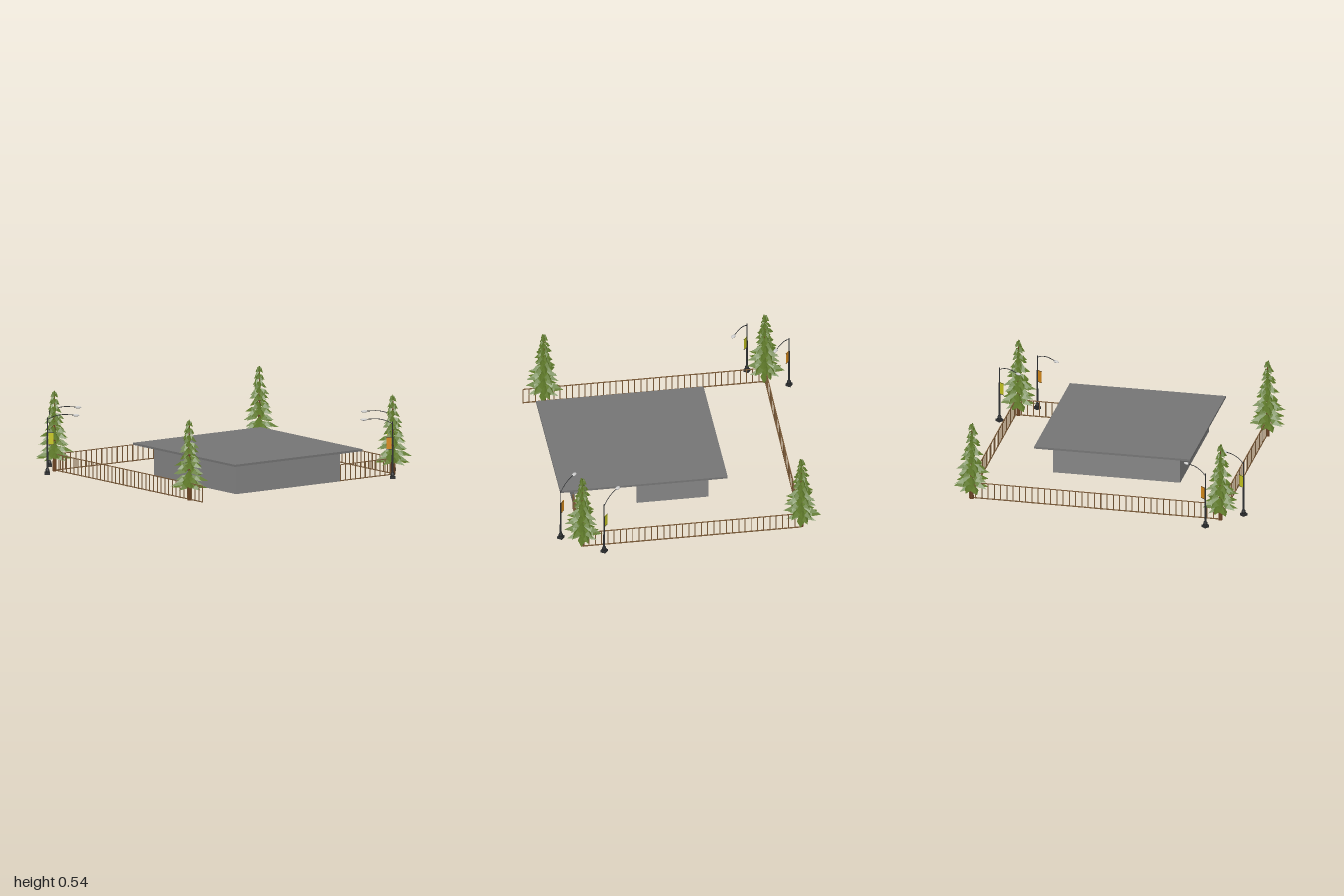
import * as THREE from 'three';
import { mergeGeometries } from 'three/addons/utils/BufferGeometryUtils.js';

const mat = (color, extra = {}) => new THREE.MeshStandardMaterial({ color, ...extra });
const M = {
  wall: mat(0x858585, { side: THREE.DoubleSide }),
  roof: mat(0x757575),
  wood: mat(0x7a5a38),
  bark: mat(0x6b4223, { flatShading: true }),
  leaf: mat(0x5f7a2a, { side: THREE.DoubleSide, flatShading: true }),
  iron: mat(0x2c2e30),
  lamp: mat(0xcccccc),
  orange: mat(0xd98a1a),
  yellow: mat(0xc8c81e),
};

function add(parent, name, geo, material, x = 0, y = 0, z = 0) {
  const m = new THREE.Mesh(geo, material);
  m.name = name;
  m.position.set(x, y, z);
  parent.add(m);
  return m;
}
function group(parent, name, x = 0, z = 0, turn = 0) {
  const g = new THREE.Group();
  g.name = name;
  g.position.set(x, 0, z);
  g.rotation.y = turn;
  parent.add(g);
  return g;
}
const box = (w, h, d, x = 0, y = 0, z = 0) => new THREE.BoxGeometry(w, h, d).translate(x, y, z);

// Small seeded generator for uneven branches
function seeded(seed) {
  return () => (seed = (seed * 16807) % 2147483647) / 2147483647;
}

// Tiers of drooping, ridged branch blades
function foliageGeometry() {
  const rnd = seeded(77), pos = [];
  const tiers = 10;
  for (let i = 0; i < tiers; i++) {
    const t = i / (tiers - 1);
    const reach = 0.14 * (1 - t) + 0.03 * t;
    const tipY = 0.085 + 0.405 * t;
    const blades = Math.round(10 - 4 * t);
    for (let b = 0; b < blades; b++) {
      const a = ((b + (i % 2) * 0.5 + (rnd() - 0.5) * 0.5) / blades) * Math.PI * 2;
      const r = reach * (0.72 + 0.34 * rnd());
      const y = tipY + (rnd() - 0.5) * 0.025;
      const w = 0.007 + r * 0.16;
      const at = (rad, side, h) => [
        Math.cos(a) * rad - Math.sin(a) * side, h, Math.sin(a) * rad + Math.cos(a) * side];
      const root = at(0.002, 0, y + 0.042), ridge = at(r * 0.55, 0, y + 0.034);
      const left = at(r * 0.5, w, y + 0.008), right = at(r * 0.5, -w, y + 0.008);
      const tip = at(r, 0, y);
      for (const tri of [[root, left, ridge], [left, tip, ridge], [root, ridge, right], [ridge, tip, right]])
        for (const p of tri) pos.push(...p);
    }
  }
  const g = new THREE.BufferGeometry();
  g.setAttribute('position', new THREE.Float32BufferAttribute(pos, 3));
  g.computeVertexNormals();
  return g;
}

// Picket fence between two ground points
function fence(parent, name, x1, z1, x2, z2) {
  const len = Math.hypot(x2 - x1, z2 - z1);
  const g = group(parent, name, (x1 + x2) / 2, (z1 + z2) / 2, -Math.atan2(z2 - z1, x2 - x1));
  const n = Math.round(len / 0.042), parts = [];
  for (let i = 0; i <= n; i++)
    parts.push(box(0.006, 0.11, 0.004, -len / 2 + (len * i) / n, 0.057, 0));
  add(g, 'pickets', mergeGeometries(parts), M.wood);
  add(g, 'topRail', box(len, 0.005, 0.006), M.wood, 0, 0.113, 0);
  add(g, 'bottomRail', box(len, 0.006, 0.006), M.wood, 0, 0.006, 0);
}

// Street lamp whose arm points along local +x
function streetLamp(parent, x, z, turn, bannerMat) {
  const g = group(parent, 'streetLamp', x, z, turn);
  add(g, 'base', box(0.036, 0.016, 0.036), M.iron, 0, 0.012, 0);
  const V = (r, y) => new THREE.Vector2(r, y);
  add(g, 'pole', new THREE.LatheGeometry([V(0, 0.018), V(0.015, 0.02), V(0.013, 0.038), V(0.007, 0.048),
    V(0.005, 0.28), V(0.003, 0.285), V(0.003, 0.385), V(0, 0.385)], 10), M.iron);
  const curve = new THREE.CatmullRomCurve3([[0, 0.372], [0.04, 0.392], [0.1, 0.405], [0.175, 0.402]]
    .map(([a, b]) => new THREE.Vector3(a, b, 0)));
  add(g, 'arm', new THREE.TubeGeometry(curve, 12, 0.0025, 6), M.iron);
  const head = add(g, 'lampHead', new THREE.SphereGeometry(1, 12, 8), M.lamp, 0.19, 0.4, 0);
  head.scale.set(0.022, 0.008, 0.013);
  add(g, 'banner', box(0.034, 0.084, 0.003), bannerMat, 0.024, 0.242, 0);
  for (const y of [0.202, 0.282])
    add(g, 'bannerRod', box(0.044, 0.003, 0.004), M.iron, 0.021, y, 0);
}

// Round table with chairs around it
function diningSet(parent, x, z) {
  const g = group(parent, 'diningSet', x, z);
  add(g, 'tableTop', new THREE.CylinderGeometry(0.04, 0.04, 0.005, 20), M.lamp, 0, 0.05, 0);
  add(g, 'tableLeg', new THREE.CylinderGeometry(0.005, 0.012, 0.05, 8), M.iron, 0, 0.025, 0);
  const parts = [box(0.026, 0.003, 0.026, 0, 0.03, 0), box(0.003, 0.036, 0.026, 0.013, 0.048, 0)];
  for (const a of [-1, 1]) for (const b of [-1, 1])
    parts.push(box(0.003, 0.03, 0.003, a * 0.011, 0.015, b * 0.011));
  const chairGeo = mergeGeometries(parts);
  for (let i = 0; i < 4; i++) {
    const a = (i * Math.PI) / 2 + 0.4;
    add(g, 'chair', chairGeo, M.iron, Math.cos(a) * 0.062, 0, Math.sin(a) * 0.062).rotation.y = -a;
  }
}

export function createModel() {
  const model = new THREE.Group();
  model.name = 'fencedPavilion';

  // Building: open floor, back wall leaves an entrance gap
  const house = group(model, 'building');
  const T = 0.006, H = 0.207;
  add(house, 'frontWall', box(0.9, H, T), M.wall, 0.29, H / 2, 0.437);
  add(house, 'leftWall', box(T, H, 0.86), M.wall, 0.737, H / 2, 0.01);
  add(house, 'rightWall', box(T, H, 0.86), M.wall, -0.157, H / 2, 0.01);
  add(house, 'backWall', box(0.48, H, T), M.wall, 0.08, H / 2, -0.417);
  add(house, 'roof', box(1.12, 0.014, 1.055), M.roof, 0.288, 0.213, 0.004);

  // Furniture inside
  diningSet(house, 0.4, 0.04);
  const bench = group(house, 'bench', -0.12, -0.26);
  add(bench, 'seat', box(0.045, 0.006, 0.27), M.wood, 0, 0.035, 0);
  for (const s of [-1, 1]) add(bench, 'benchLeg', box(0.04, 0.032, 0.008), M.wood, 0, 0.016, s * 0.11);
  add(house, 'counter', box(0.05, 0.06, 0.25), M.wall, 0.7, 0.03, -0.13);
  for (const [x, z] of [[0.28, -0.09], [0.22, -0.06]]) {
    const s = group(house, 'stand', x, z);
    add(s, 'standFoot', new THREE.CylinderGeometry(0.012, 0.012, 0.004, 10), M.iron, 0, 0.002, 0);
    add(s, 'standPost', new THREE.CylinderGeometry(0.004, 0.006, 0.09, 8), M.iron, 0, 0.047, 0);
    add(s, 'standTop', box(0.018, 0.03, 0.008), M.lamp, 0, 0.085, 0);
  }

  // Fences round the yard
  fence(model, 'frontFence', -0.73, 0.83, 0.89, 0.83);
  fence(model, 'backFence', -0.71, -0.868, 0.75, -0.868);
  fence(model, 'rightFence', -0.73, 0.83, -0.71, -0.868);
  fence(model, 'leftFence', 0.747, -0.868, 0.747, -0.42);

  // Corner conifers
  const leaves = foliageGeometry();
  const trunk = new THREE.CylinderGeometry(0.003, 0.014, 0.5, 7).translate(0, 0.25, 0);
  for (const [x, z] of [[-0.715, -0.85], [0.75, -0.85], [-0.73, 0.835], [0.75, 0.835]]) {
    const tree = group(model, 'tree', x, z);
    add(tree, 'trunk', trunk, M.bark);
    add(tree, 'foliage', leaves, M.leaf);
  }

  // Street lamps at two opposite corners
  const toBack = Math.atan2(0.16, 0.12);
  streetLamp(model, -0.88, 0.765, toBack, M.orange);
  streetLamp(model, -0.63, 0.97, toBack, M.yellow);
  streetLamp(model, 0.88, -0.75, toBack + Math.PI, M.orange);
  streetLamp(model, 0.62, -0.95, toBack + Math.PI, M.yellow);

  return model;
}
